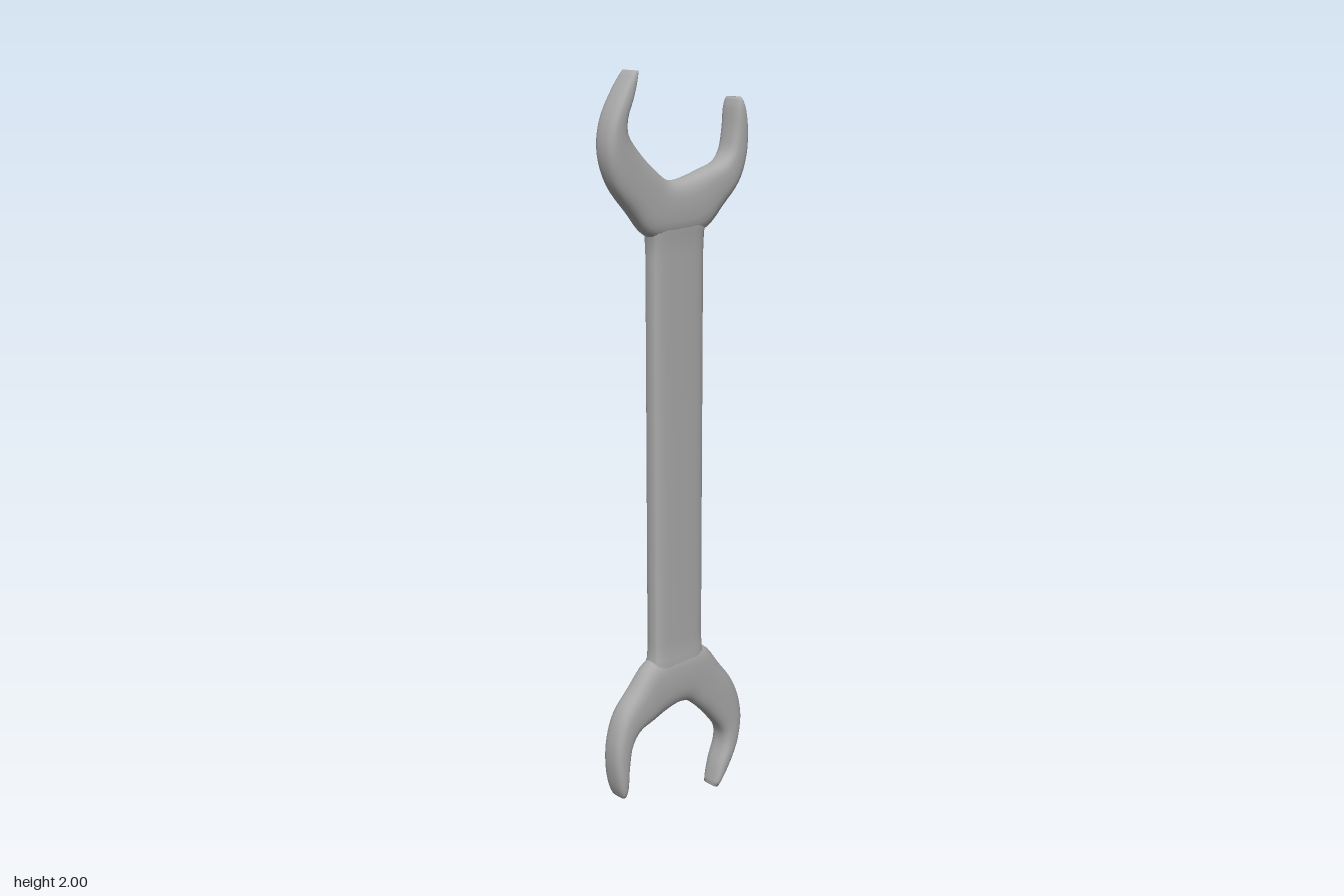
import * as THREE from 'three';

const RING = 24;

// Skin through rounded sections; each section is { c: centre, a: half-width vector, t: half thickness in z }.
function loft(sections, power) {
  const round = v => Math.sign(v) * Math.pow(Math.abs(v), 2 / power);
  const pos = [], index = [], n = sections.length;
  for (const { c, a, t } of sections) {
    for (let j = 0; j < RING; j++) {
      const ang = (j / RING) * Math.PI * 2;
      const u = round(Math.cos(ang)), w = round(Math.sin(ang));
      pos.push(c.x + a.x * u, c.y + a.y * u, w * t);
    }
  }
  for (let i = 0; i < n - 1; i++) {
    for (let j = 0; j < RING; j++) {
      const k = (j + 1) % RING;
      const p = i * RING + j, q = p + RING, r = (i + 1) * RING + k, s = i * RING + k;
      index.push(p, q, r, p, r, s);
    }
  }
  // end caps
  const first = n * RING, last = first + 1, base = (n - 1) * RING;
  pos.push(sections[0].c.x, sections[0].c.y, 0, sections[n - 1].c.x, sections[n - 1].c.y, 0);
  for (let j = 0; j < RING; j++) {
    const k = (j + 1) % RING;
    index.push(first, j, k, last, base + k, base + j);
  }
  const geo = new THREE.BufferGeometry();
  geo.setAttribute('position', new THREE.Float32BufferAttribute(pos, 3));
  geo.setIndex(index);
  geo.computeVertexNormals();
  return geo;
}

// Open jaw, from the long tip round the neck to the short tip: outer x, y, inner x, y (y measured from the tip).
const JAW = [
  [-0.148, -0.002, -0.130, -0.004],
  [-0.187, -0.055, -0.145, -0.060],
  [-0.222, -0.125, -0.165, -0.112],
  [-0.230, -0.200, -0.162, -0.148],
  [-0.205, -0.275, -0.120, -0.200],
  [-0.150, -0.342, -0.070, -0.245],
  [-0.090, -0.405, -0.035, -0.268],
  [0.000, -0.415, 0.000, -0.273],
  [0.090, -0.402, 0.045, -0.265],
  [0.150, -0.348, 0.090, -0.252],
  [0.200, -0.295, 0.140, -0.237],
  [0.224, -0.230, 0.165, -0.212],
  [0.228, -0.170, 0.178, -0.160],
  [0.218, -0.110, 0.185, -0.105],
  [0.206, -0.080, 0.192, -0.082],
];

function jawGeometry() {
  const curve = o => new THREE.CatmullRomCurve3(
    JAW.map(p => new THREE.Vector3(p[o], p[o + 1], 0)), false, 'centripetal');
  const outer = curve(0), inner = curve(2), steps = 56, sections = [];
  for (let i = 0; i <= steps; i++) {
    const s = i / steps, o = outer.getPoint(s), n = inner.getPoint(s);
    const end = Math.min(1, Math.min(s, 1 - s) * 10);
    sections.push({
      c: o.clone().add(n).multiplyScalar(0.5),
      a: o.clone().sub(n).multiplyScalar(0.5),
      t: 0.026 + 0.011 * Math.sqrt(end),
    });
  }
  return loft(sections, 2.8);
}

export function createModel() {
  const model = new THREE.Group();
  model.name = 'openEndedSpanner';
  const steel = new THREE.MeshStandardMaterial({ color: 0xaaaaaa });
  steel.name = 'greySteel';

  // Flat handle, thickening where it runs into each head: y, half width, half thickness
  const rows = [
    [0.36, 0.075, 0.034], [0.42, 0.098, 0.035], [0.455, 0.085, 0.031], [0.50, 0.085, 0.028],
    [1.54, 0.085, 0.028], [1.595, 0.086, 0.031], [1.63, 0.098, 0.035], [1.69, 0.075, 0.034],
  ];
  const handle = new THREE.Mesh(loft(rows.map(([y, w, t]) => ({
    c: new THREE.Vector3(0, y, 0), a: new THREE.Vector3(w, 0, 0), t,
  })), 4), steel);
  handle.name = 'handle';

  // Matching heads, the lower one turned half round and slightly longer
  const jaw = jawGeometry();
  const upperJaw = new THREE.Mesh(jaw, steel);
  upperJaw.name = 'upperJaw';
  upperJaw.position.y = 2;
  const lowerJaw = new THREE.Mesh(jaw, steel);
  lowerJaw.name = 'lowerJaw';
  lowerJaw.rotation.z = Math.PI;
  lowerJaw.scale.y = 1.12;

  model.add(handle, upperJaw, lowerJaw);
  return model;
}
